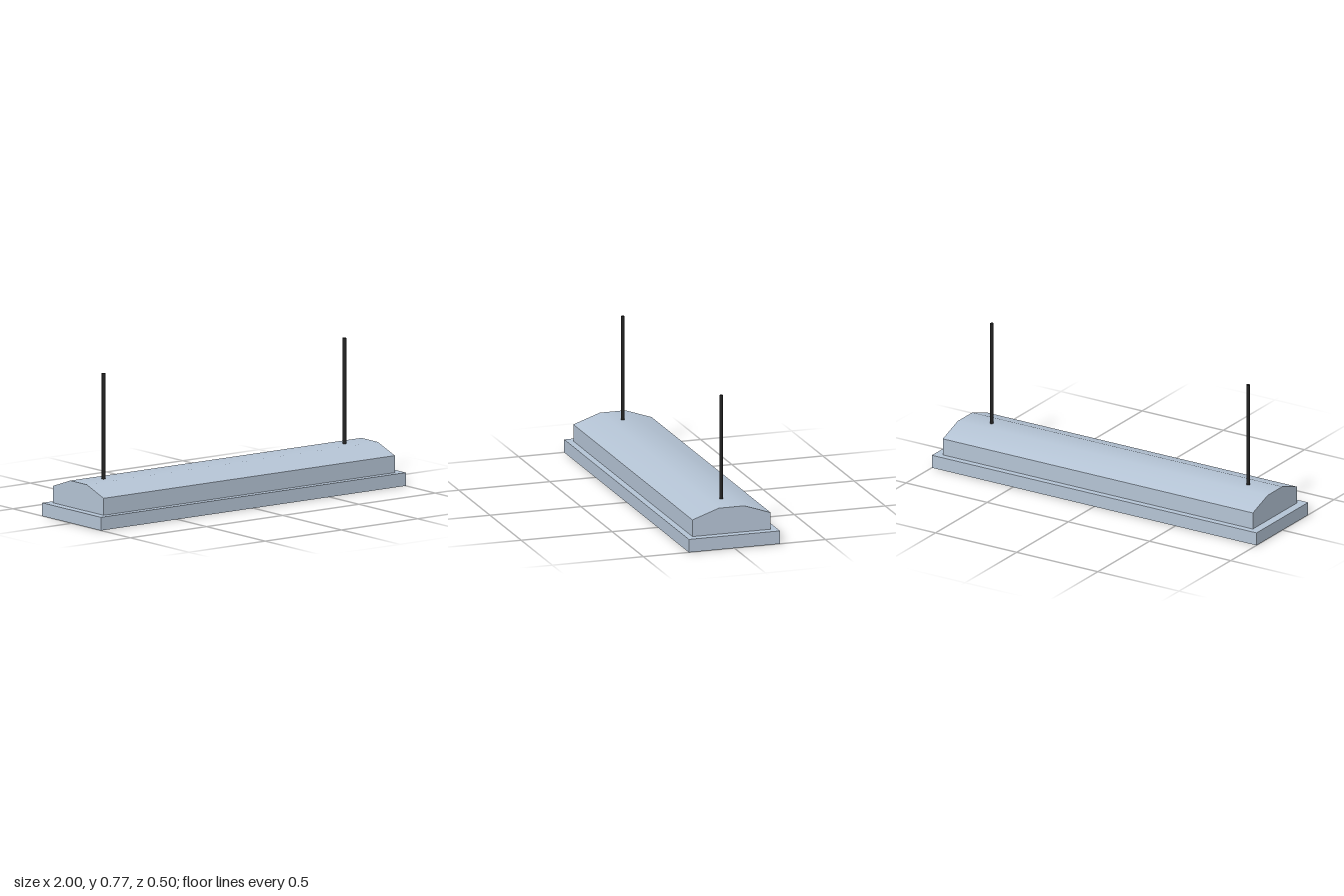
import * as THREE from 'three';
import { mergeGeometries, toCreasedNormals } from 'three/addons/utils/BufferGeometryUtils.js';

export function createModel() {
  const group = new THREE.Group();
  const metal = new THREE.MeshStandardMaterial({ color: 0xb4c3d4 });
  const black = new THREE.MeshStandardMaterial({ color: 0x222222 });
  const grey = new THREE.MeshStandardMaterial({ color: 0xcccccc });

  const add = (name, geometry, material, x = 0, y = 0, z = 0) => {
    const mesh = new THREE.Mesh(geometry, material);
    mesh.name = name;
    mesh.position.set(x, y, z);
    group.add(mesh);
  };
  const corners = (w, d) => [[-w, -d], [w, -d], [w, d], [-w, d]].map(p => new THREE.Vector2(...p));

  // Base frame: solid slab with a thin rim below it
  const rimHeight = 0.02, frameTop = 0.07;
  const rimShape = new THREE.Shape(corners(1, 0.25));
  rimShape.holes.push(new THREE.Path(corners(0.98, 0.23).reverse()));
  const rim = new THREE.ExtrudeGeometry(rimShape, { depth: rimHeight, bevelEnabled: false })
    .rotateX(-Math.PI / 2);
  const slab = new THREE.BoxGeometry(2, frameTop - rimHeight, 0.5)
    .translate(0, (frameTop + rimHeight) / 2, 0).toNonIndexed();
  add('baseFrame', mergeGeometries([rim, slab]), metal);

  // Light panel recessed inside the rim
  add('lightPanel', new THREE.BoxGeometry(1.96, 0.006, 0.46), grey, 0, 0.018, 0);

  // Housing: sloped profile run along x, softly shaded over the top
  const length = 1.91;
  const profile = new THREE.Shape([
    [-0.215, frameTop], [0.215, frameTop], [0.215, 0.16],
    [0.07, 0.21], [-0.07, 0.21], [-0.215, 0.16],
  ].map(p => new THREE.Vector2(...p)));
  const housing = new THREE.ExtrudeGeometry(profile, { depth: length, bevelEnabled: false })
    .translate(0, 0, -length / 2).rotateY(Math.PI / 2);
  add('housing', toCreasedNormals(housing, 0.7), metal);

  // Hanging rods
  for (const side of [-1, 1]) {
    add(side > 0 ? 'leftRod' : 'rightRod',
      new THREE.CylinderGeometry(0.01, 0.01, 0.56, 8), black, side * 0.79, 0.49, 0);
  }
  return group;
}
